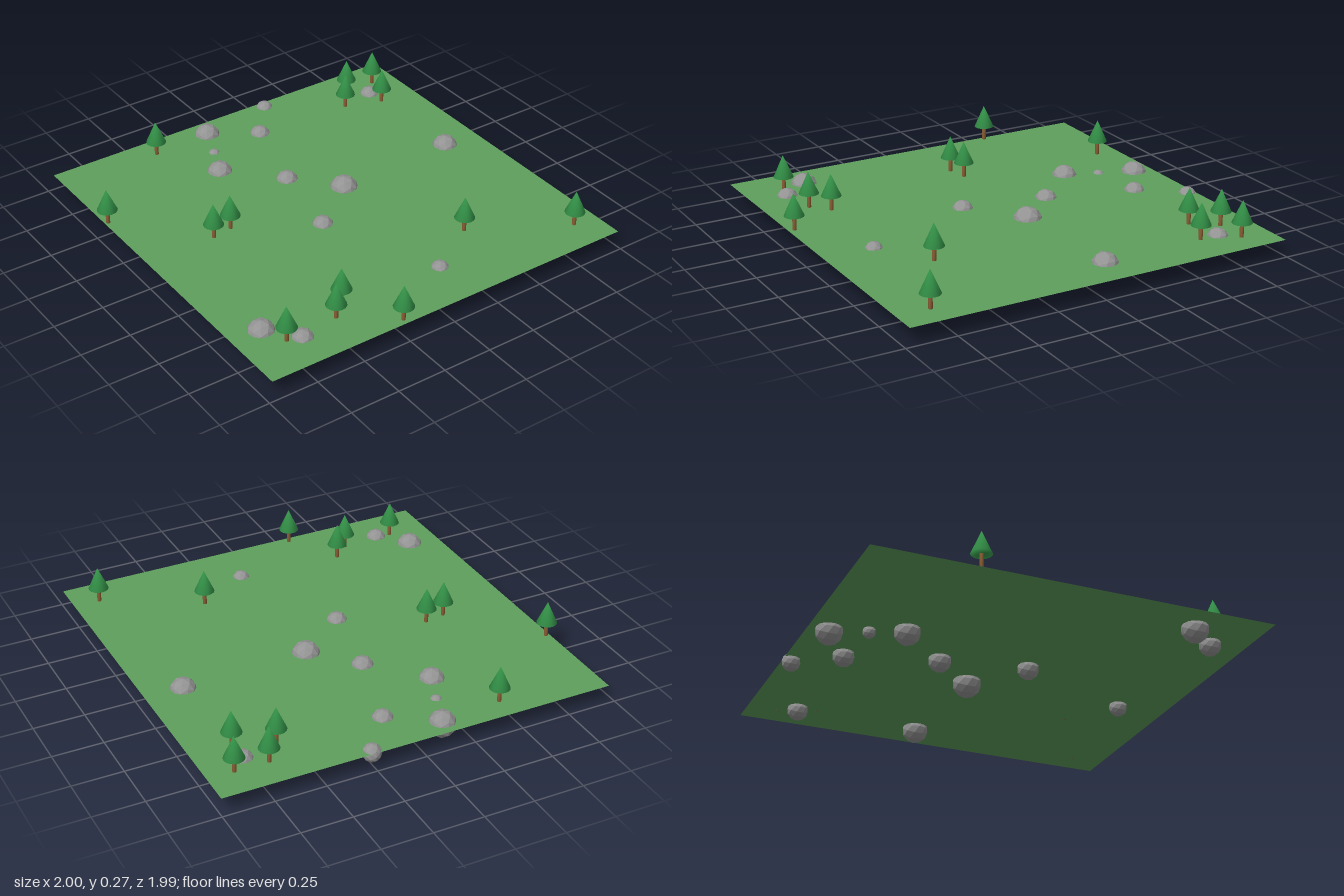
import * as THREE from 'three';
import { mergeVertices } from 'three/addons/utils/BufferGeometryUtils.js';

const GROUND_Y = 0.091;
const ROCK_Y = 0.075;

// Tree positions: x, z
const TREES = [
  [-0.447, -0.87], [-0.95, -0.473], [-0.6, -0.08], [-0.495, -0.1], [-0.76, 0.775],
  [-0.487, 0.762], [-0.402, 0.682], [-0.25, 0.945], [0.405, 0.548], [0.865, 0.81],
  [0.698, -0.832], [0.865, -0.832], [0.607, -0.712], [0.795, -0.648],
];

// Rocks: x, z, radius
const ROCKS = [
  [-0.135, -0.892, 0.067], [0.255, -0.952, 0.046], [-0.2, -0.72, 0.032], [0.092, -0.745, 0.054],
  [-0.268, -0.558, 0.065], [-0.034, -0.307, 0.057], [0.157, -0.09, 0.072], [0.803, -0.115, 0.066],
  [-0.113, 0.117, 0.054], [-0.81, 0.645, 0.067], [-0.687, 0.79, 0.054], [0.13, 0.717, 0.046],
  [0.79, -0.75, 0.053],
];

function flatMaterial(name, color, options = {}) {
  const material = new THREE.MeshStandardMaterial({ color, ...options });
  material.name = name;
  return material;
}

// Weld all corners so the shading runs softly across caps and tip
function softened(geometry) {
  geometry.deleteAttribute('uv');
  geometry.deleteAttribute('normal');
  const welded = mergeVertices(geometry, 1e-5);
  welded.computeVertexNormals();
  return welded;
}

function addMesh(parent, name, geometry, material, x, y, z) {
  const mesh = new THREE.Mesh(geometry, material);
  mesh.name = name;
  mesh.position.set(x, y, z);
  parent.add(mesh);
  return mesh;
}

export function createModel() {
  const model = new THREE.Group();
  model.name = 'meadow';

  const grass = flatMaterial('grass green', 0x5e9f5c, { side: THREE.DoubleSide });
  const leaf = flatMaterial('pine green', 0x35964a);
  const bark = flatMaterial('bark brown', 0x8b5e34);
  const stone = flatMaterial('stone grey', 0x949494, { flatShading: true });

  // Ground sheet
  const sheet = new THREE.PlaneGeometry(1.966, 1.966).rotateX(-Math.PI / 2);
  addMesh(model, 'ground', sheet, grass, 0.014, GROUND_Y, -0.006);

  // Trees: a cone on a thin trunk
  const crown = softened(new THREE.ConeGeometry(0.05, 0.113, 16));
  const trunk = softened(new THREE.CylinderGeometry(0.01, 0.01, 0.077, 10));
  TREES.forEach(([x, z]) => {
    const tree = new THREE.Group();
    tree.name = 'tree';
    tree.position.set(x, GROUND_Y, z);
    addMesh(tree, 'trunk', trunk, bark, 0, 0.0385, 0);
    addMesh(tree, 'crown', crown, leaf, 0, 0.1285, 0);
    model.add(tree);
  });

  // Rocks: faceted balls sunk halfway through the ground
  const ball = new THREE.IcosahedronGeometry(1, 1);
  ROCKS.forEach(([x, z, r]) => {
    addMesh(model, 'rock', ball, stone, x, ROCK_Y, z).scale.setScalar(r);
  });

  return model;
}
